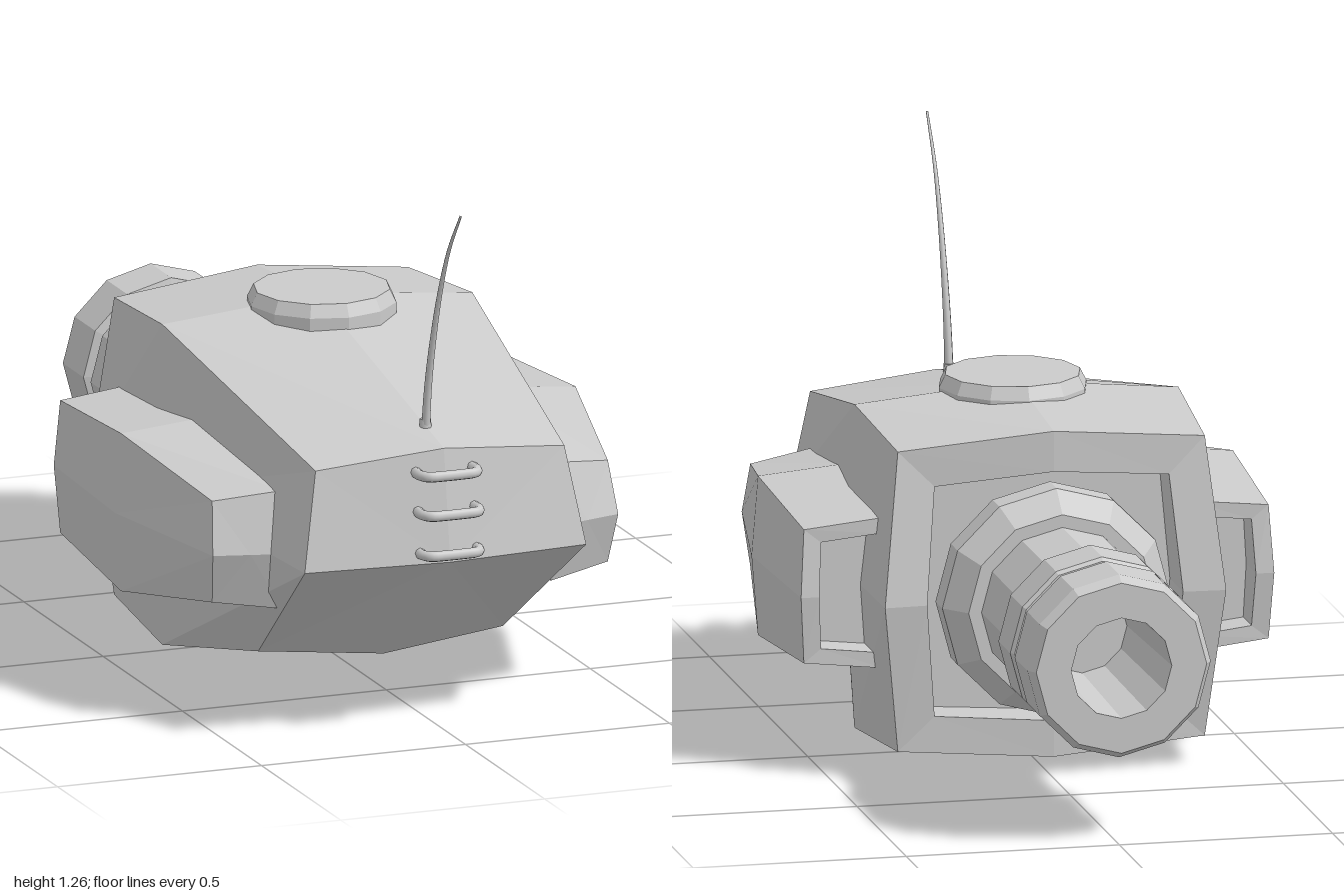
import * as THREE from 'three';

const AXIS_X = -0.01, AXIS_Y = 0.415;
const flat = new THREE.MeshStandardMaterial({ color: 0xcccccc, flatShading: true });
const smooth = new THREE.MeshStandardMaterial({ color: 0xcccccc });

function part(name, geometry, material = flat) {
  const mesh = new THREE.Mesh(geometry, material);
  mesh.name = name;
  return mesh;
}

// Skins closed rings (front to back, clockwise seen from +z) and caps both ends with fans.
function loft(rings, frontCentre, backCentre) {
  const pos = [];
  const tri = (a, b, c) => pos.push(...a, ...b, ...c);
  const n = rings[0].length;
  for (let j = 0; j < n; j++) {
    const k = (j + 1) % n;
    for (let i = 0; i < rings.length - 1; i++) {
      const [p, q] = [rings[i], rings[i + 1]];
      tri(p[j], p[k], q[j]);
      tri(p[k], q[k], q[j]);
    }
    const last = rings[rings.length - 1];
    tri(frontCentre, rings[0][k], rings[0][j]);
    tri(backCentre, last[j], last[k]);
  }
  const g = new THREE.BufferGeometry();
  g.setAttribute('position', new THREE.Float32BufferAttribute(pos, 3));
  g.computeVertexNormals();
  return g;
}

// Hull ring from its right half: top ridge, shoulder, waist, lower shoulder, keel.
function hullRing(half) {
  const mirrored = half.slice(1, -1).reverse().map(([x, y, z]) => [-x, y, z]);
  return [...half, ...mirrored].map(([x, y, z]) => [x + AXIS_X, y, z]);
}

function makeHull() {
  const rim = [[0, 0.71, -0.29], [0.275, 0.685, -0.27], [0.3, AXIS_Y, -0.305], [0.275, 0.145, -0.27], [0, 0.125, -0.29]];
  const rings = [
    [[0, 0.675, 0.89], [0.305, 0.645, 0.865], [0.345, AXIS_Y, 0.9], [0.3, 0.12, 0.49], [0, 0.09, 0.51]],
    [[0, 0.835, 0.09], [0.38, 0.8, 0.09], [0.405, AXIS_Y, 0.09], [0.38, 0.04, 0.09], [0, 0, 0.09]],
    [[0, 0.805, -0.29], [0.36, 0.77, -0.265], [0.4, AXIS_Y, -0.31], [0.36, 0.065, -0.265], [0, 0.04, -0.29]],
    rim,
    rim.map(([x, y]) => [x, y, -0.17]), // recessed rear panel
  ].map(hullRing);
  return part('hull', loft(rings, [AXIS_X, AXIS_Y, 0.93], [AXIS_X, AXIS_Y, -0.17]));
}

// Pod ring from its upper half: inner edge, outer edge, then waist points.
function podRing(inTop, outTop, outMid, inMid) {
  const flip = ([x, y, z]) => [x, 2 * AXIS_Y - y, z];
  return [inTop, outTop, outMid, flip(outTop), flip(inTop), inMid];
}

function makePod(side) {
  const rings = [
    podRing([0.33, 0.555, 0.69], [0.485, 0.535, 0.65], [0.497, AXIS_Y, 0.685], [0.33, AXIS_Y, 0.73]),
    podRing([0.35, 0.62, 0.26], [0.557, 0.602, 0.26], [0.572, AXIS_Y, 0.26], [0.35, AXIS_Y, 0.26]),
    podRing([0.36, 0.592, -0.16], [0.545, 0.572, -0.155], [0.555, AXIS_Y, -0.17], [0.36, AXIS_Y, -0.16]),
    podRing([0.37, 0.555, -0.16], [0.505, 0.54, -0.155], [0.512, AXIS_Y, -0.17], [0.37, AXIS_Y, -0.16]),
    podRing([0.37, 0.555, -0.07], [0.505, 0.54, -0.07], [0.512, AXIS_Y, -0.07], [0.37, AXIS_Y, -0.07]),
  ];
  const place = ([x, y, z]) => [x * side, y, z];
  const placed = rings.map((r) => (side > 0 ? r : [...r].reverse()).map(place));
  const geometry = loft(placed, place([0.413, AXIS_Y, 0.7075]), place([0.44, AXIS_Y, -0.07]));
  return part(side > 0 ? 'leftPod' : 'rightPod', geometry);
}

function lathe(points) {
  return new THREE.LatheGeometry(points.map(([r, h]) => new THREE.Vector2(r, h)), 12);
}

// Rear barrel, profiled along its own axis and turned to point backwards.
function makeBarrel() {
  const barrel = new THREE.Group();
  barrel.name = 'barrel';
  const collar = part('barrelCollar', lathe([
    [0.23, 0.17], [0.23, 0.25], [0.268, 0.27], [0.268, 0.34], [0.22, 0.4], [0.15, 0.4],
  ]));
  const tube = part('barrelTube', lathe([
    [0.19, 0.36], [0.19, 0.64], [0.215, 0.68], [0.215, 0.8], [0.207, 0.81], [0.193, 0.81],
    [0.193, 0.84], [0.215, 0.845], [0.215, 0.975], [0.2, 1], [0.118, 1], [0.105, 0.6], [0, 0.6],
  ]));
  barrel.add(collar, tube);
  barrel.rotation.x = -Math.PI / 2;
  barrel.position.set(-0.005, AXIS_Y, 0);
  return barrel;
}

function makeHatch() {
  const hatch = part('topHatch', lathe([[0.173, 0.78], [0.173, 0.825], [0.158, 0.855], [0, 0.855]]));
  hatch.position.set(-0.004, 0, 0.103);
  return hatch;
}

// Rounded rung bent out from the sloping nose.
function makeRung(y, wallZ, outZ) {
  const w = 0.068;
  const path = new THREE.CatmullRomCurve3([
    [-w, wallZ], [-w, outZ - 0.02], [-w * 0.8, outZ - 0.003], [-w * 0.4, outZ],
    [w * 0.4, outZ], [w * 0.8, outZ - 0.003], [w, outZ - 0.02], [w, wallZ],
  ].map(([x, z]) => new THREE.Vector3(x + AXIS_X, y, z)));
  return part('noseRung', new THREE.TubeGeometry(path, 32, 0.0125, 8), smooth);
}

// Whip antenna: a tube whose sections shrink towards the tip.
function makeAntenna() {
  const antenna = new THREE.Group();
  antenna.name = 'antenna';
  const path = new THREE.CatmullRomCurve3(
    [[0.68, 0.773], [0.79, 0.789], [0.9, 0.817], [1.03, 0.862], [1.15, 0.92], [1.255, 0.998]]
      .map(([y, z]) => new THREE.Vector3(AXIS_X, y, z)));
  const steps = 24, sides = 8;
  const g = new THREE.TubeGeometry(path, steps, 0.011, sides);
  const pos = g.attributes.position, v = new THREE.Vector3();
  for (let i = 0; i < pos.count; i++) {
    const t = Math.floor(i / (sides + 1)) / steps;
    const centre = path.getPointAt(t);
    v.fromBufferAttribute(pos, i).sub(centre).multiplyScalar(1 - 0.75 * t).add(centre);
    pos.setXYZ(i, v.x, v.y, v.z);
  }
  const foot = part('antennaFoot', new THREE.CylinderGeometry(0.013, 0.015, 0.05, 10), smooth);
  foot.position.set(AXIS_X, 0.69, 0.773);
  antenna.add(part('antennaWhip', g, smooth), foot);
  return antenna;
}

export function createModel() {
  const model = new THREE.Group();
  model.name = 'armouredTurret';
  model.add(makeHull(), makePod(1), makePod(-1), makeBarrel(), makeHatch(), makeAntenna());
  for (const [y, wallZ, outZ] of [[0.625, 0.87, 0.945], [0.535, 0.885, 0.958], [0.44, 0.9, 0.958]]) {
    model.add(makeRung(y, wallZ, outZ));
  }
  return model;
}
